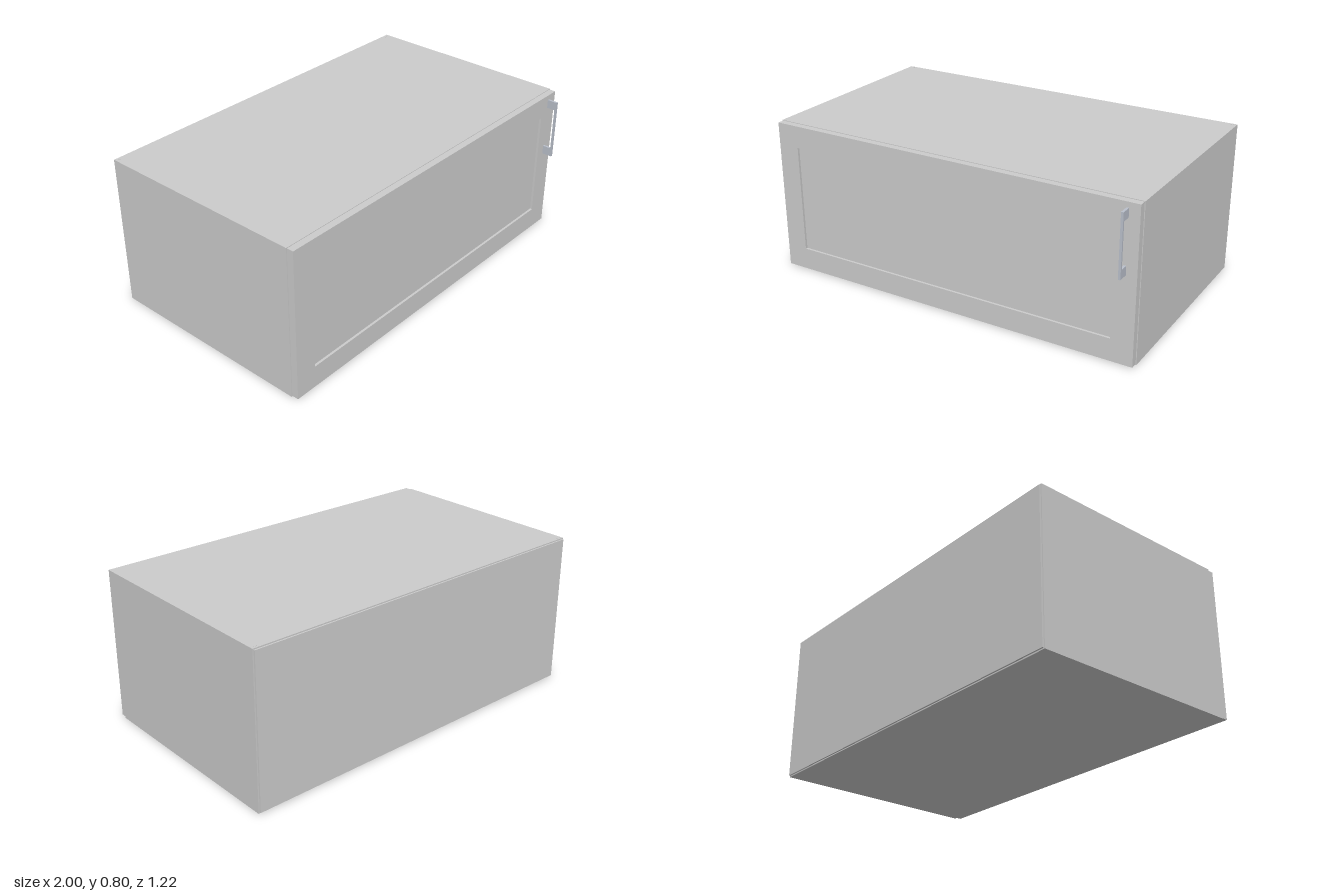
import * as THREE from 'three';

const grey = new THREE.MeshStandardMaterial({ color: 0xcccccc });
const metal = new THREE.MeshStandardMaterial({ color: 0xbac0cb });

// Closed rectangle outline centred on x = 0
function rect(Type, halfW, y0, y1) {
  return new Type([[-halfW, y0], [halfW, y0], [halfW, y1], [-halfW, y1]].map(([x, y]) => new THREE.Vector2(x, y)));
}

// Rectangular ring with an even wall, extruded along z
function ring(name, halfW, y0, y1, wall, z0, z1) {
  const shape = rect(THREE.Shape, halfW, y0, y1);
  shape.holes.push(rect(THREE.Path, halfW - wall, y0 + wall, y1 - wall));
  const geo = new THREE.ExtrudeGeometry(shape, { depth: z1 - z0, bevelEnabled: false });
  const mesh = new THREE.Mesh(geo.translate(0, 0, z0), grey);
  mesh.name = name;
  return mesh;
}

// Box given by its limits on each axis
function box(name, [x0, x1], [y0, y1], [z0, z1], material = grey) {
  const mesh = new THREE.Mesh(new THREE.BoxGeometry(x1 - x0, y1 - y0, z1 - z0), material);
  mesh.position.set((x0 + x1) / 2, (y0 + y1) / 2, (z0 + z1) / 2);
  mesh.name = name;
  return mesh;
}

export function createModel() {
  const cabinet = new THREE.Group();
  cabinet.name = 'wallCabinet';

  // Carcass: sides, top and bottom, closed by a slightly inset back panel
  cabinet.add(ring('carcass', 1, 0, 0.8, 0.035, -0.6, 0.519));
  cabinet.add(box('backPanel', [-0.994, 0.994], [0.006, 0.794], [-0.608, -0.6]));

  // Small fixing plates at the rear corners of the top
  for (const s of [-1, 1]) {
    const x = s * 0.974;
    cabinet.add(box('fixingPlate', [x - 0.009, x + 0.009], [0.798, 0.801], [-0.589, -0.579]));
  }

  // Door: frame around a recessed panel
  const door = new THREE.Group();
  door.name = 'door';
  door.add(ring('doorFrame', 0.996, 0.004, 0.797, 0.115, 0.519, 0.554));
  door.add(box('doorPanel', [-0.881, 0.881], [0.119, 0.682], [0.521, 0.542]));

  // Handle: two feet and a flat grip
  const handle = new THREE.Group();
  handle.name = 'handle';
  const x = [0.93, 0.942];
  handle.add(box('handleGrip', x, [0.452, 0.77], [0.598, 0.608], metal));
  handle.add(box('handleUpperFoot', x, [0.725, 0.77], [0.554, 0.598], metal));
  handle.add(box('handleLowerFoot', x, [0.452, 0.498], [0.554, 0.598], metal));
  door.add(handle);
  cabinet.add(door);

  return cabinet;
}
